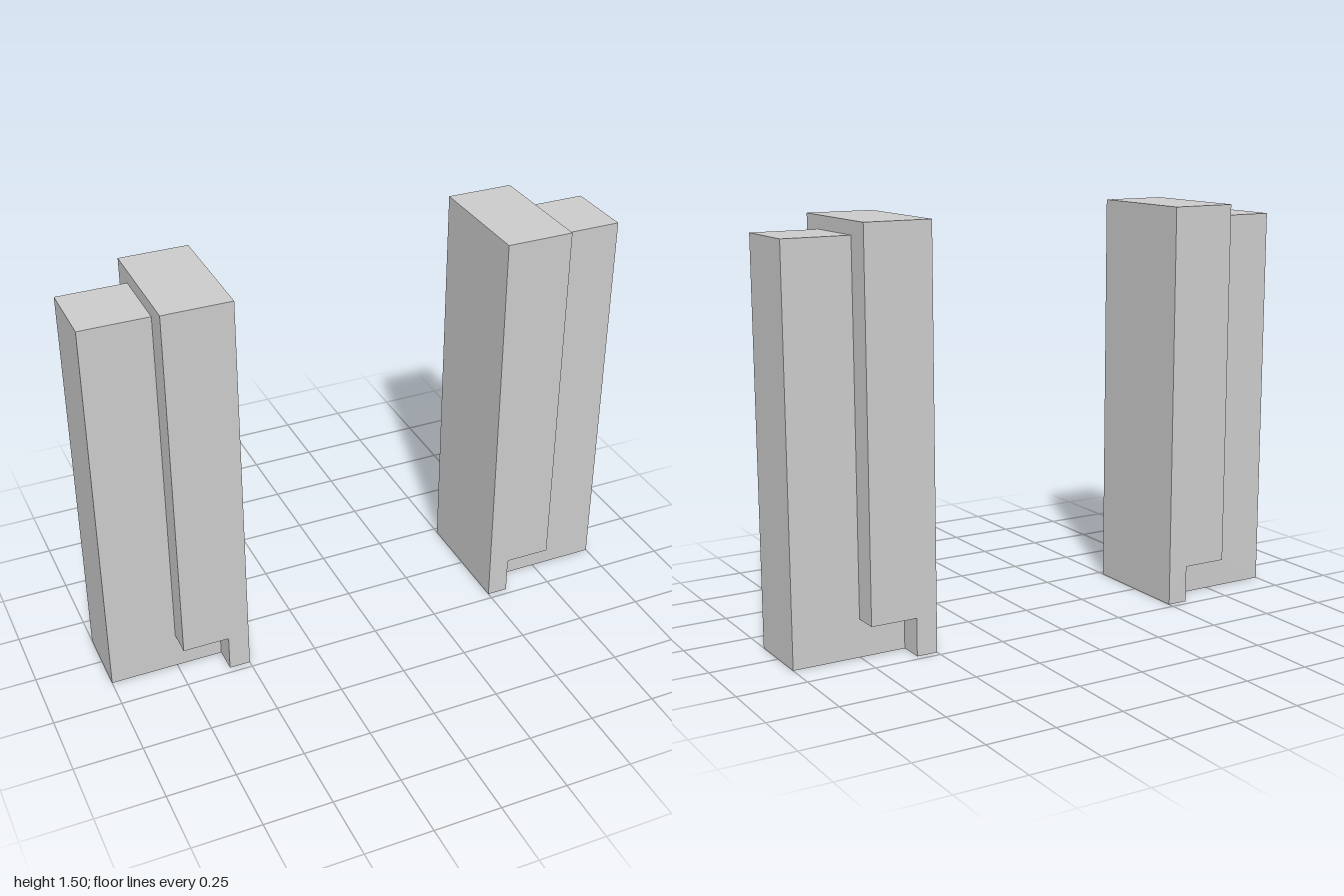
import * as THREE from 'three';

const material = new THREE.MeshStandardMaterial({ color: 0xcccccc, flatShading: true });

// Extrudes an outline in x and y, centred on z = 0
function slab(name, points, depth) {
  const shape = new THREE.Shape(points.map(([x, y]) => new THREE.Vector2(x, y)));
  const geometry = new THREE.ExtrudeGeometry(shape, { depth, bevelEnabled: false });
  geometry.translate(0, 0, -depth / 2);
  const mesh = new THREE.Mesh(geometry, material);
  mesh.name = name;
  return mesh;
}

const INNER = 0.5, NOTCH = 0.578, JOINT = 0.75, OUTER = 1;
const NOTCH_TOP = 0.138, POST_TOP = 1.456, BLOCK_TOP = 1.505;

function createJamb(name) {
  const jamb = new THREE.Group();
  jamb.name = name;

  // Wide inner block, notched at the foot
  jamb.add(slab('innerBlock', [
    [INNER, 0], [NOTCH, 0], [NOTCH, NOTCH_TOP], [JOINT, NOTCH_TOP],
    [JOINT, BLOCK_TOP], [INNER, BLOCK_TOP],
  ], 0.45));

  // Narrow outer post, whose foot runs into the notch
  jamb.add(slab('outerPost', [
    [NOTCH, 0], [OUTER, 0], [OUTER, POST_TOP], [JOINT, POST_TOP],
    [JOINT, NOTCH_TOP], [NOTCH, NOTCH_TOP],
  ], 0.26));
  return jamb;
}

export function createModel() {
  const model = new THREE.Group();
  model.name = 'doorJambs';
  const left = createJamb('leftJamb');
  // Each jamb is symmetric in z, so a half turn mirrors it
  const right = createJamb('rightJamb');
  right.rotation.y = Math.PI;
  model.add(left, right);
  return model;
}
